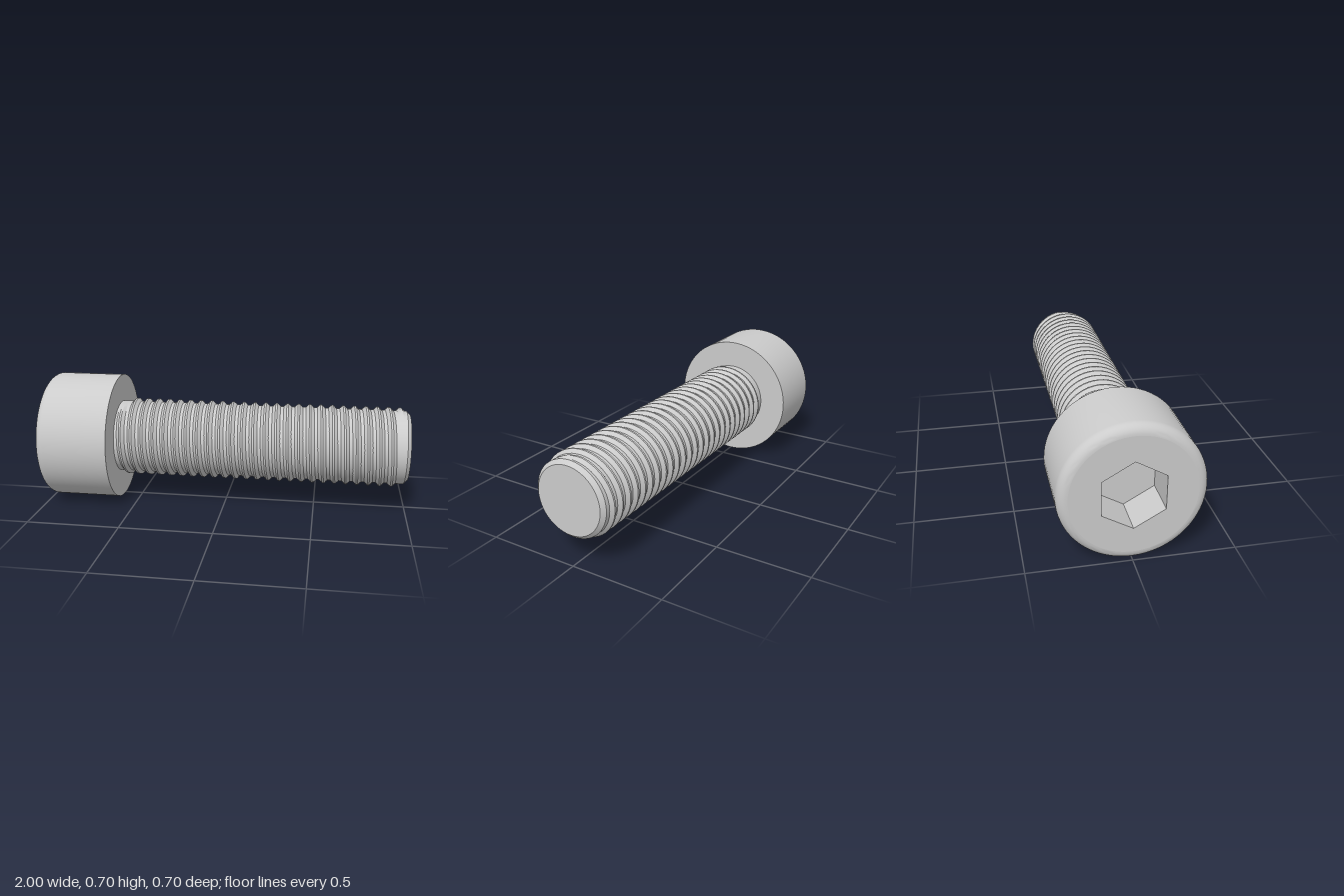
import * as THREE from 'three';
import { toCreasedNormals } from 'three/addons/utils/BufferGeometryUtils.js';

const AXIS_Y = 0.35;
const material = new THREE.MeshStandardMaterial({ color: 0xcccccc });
const doubleSided = new THREE.MeshStandardMaterial({ color: 0xcccccc, side: THREE.DoubleSide });

function part(name, geometry, mat = material) {
  const mesh = new THREE.Mesh(geometry, mat);
  mesh.name = name;
  return mesh;
}

// Turned solid around the x axis from [radius, x] pairs
function turned(profile) {
  const geometry = new THREE.LatheGeometry(profile.map(([r, x]) => new THREE.Vector2(r, x)), 72);
  geometry.rotateZ(-Math.PI / 2);
  return toCreasedNormals(geometry, 0.5);
}

function hexagon(radius) {
  return Array.from({ length: 6 }, (_, i) => {
    const a = Math.PI / 2 + i * Math.PI / 3;
    return new THREE.Vector2(radius * Math.cos(a), radius * Math.sin(a));
  });
}

// Helical ridge: a small trapezoid swept around the x axis, fading out at both ends
function threadGeometry(x0, x1, pitch, rootRadius, crestRadius) {
  const section = [[-0.024, 0], [-0.005, 1], [0.005, 1], [0.024, 0]];
  const perTurn = 48;
  const steps = Math.round((x1 - x0) / pitch * perTurn);
  const positions = [], index = [];
  for (let i = 0; i <= steps; i++) {
    const angle = i / perTurn * Math.PI * 2;
    const fade = Math.min(1, i / 6, (steps - i) / 6);
    const x = x0 + i / perTurn * pitch;
    for (const [dx, h] of section) {
      const r = rootRadius + h * fade * (crestRadius - rootRadius);
      positions.push(x + dx, r * Math.cos(angle), r * Math.sin(angle));
    }
    if (i === steps) continue;
    for (let j = 0; j < 3; j++) {
      const a = i * 4 + j, b = a + 1, c = a + 4, d = a + 5;
      index.push(a, c, b, b, c, d);
    }
  }
  const geometry = new THREE.BufferGeometry();
  geometry.setAttribute('position', new THREE.Float32BufferAttribute(positions, 3));
  geometry.setIndex(index);
  return toCreasedNormals(geometry, 0.4);
}

export function createModel() {
  const bolt = new THREE.Group();
  bolt.name = 'socketHeadBolt';
  bolt.position.y = AXIS_Y;

  // Head: rounded outer edge, straight wall, flat underside
  const headRadius = 0.35, fillet = 0.05, socketRadius = 0.173, socketDepth = 0.2;
  const headProfile = [];
  for (let i = 0; i <= 8; i++) {
    const a = i / 8 * Math.PI / 2;
    headProfile.push([headRadius - fillet + fillet * Math.sin(a), -1 + fillet - fillet * Math.cos(a)]);
  }
  headProfile.push([headRadius, -0.6], [0.15, -0.6]);
  bolt.add(part('head', turned(headProfile)));

  // Head face with the hexagonal opening
  const face = new THREE.Shape().absarc(0, 0, headRadius - fillet, 0, Math.PI * 2);
  face.holes.push(new THREE.Path(hexagon(socketRadius)));
  const faceGeometry = new THREE.ShapeGeometry(face, 36);
  faceGeometry.rotateY(-Math.PI / 2).translate(-1, 0, 0);
  bolt.add(part('headFace', faceGeometry));

  // Socket walls and floor
  const walls = new THREE.CylinderGeometry(socketRadius, socketRadius, socketDepth, 6, 1, true, Math.PI / 6);
  walls.rotateZ(-Math.PI / 2).translate(-1 + socketDepth / 2, 0, 0);
  bolt.add(part('socketWalls', toCreasedNormals(walls, 0.3), doubleSided));
  const floor = new THREE.ShapeGeometry(new THREE.Shape(hexagon(socketRadius)));
  floor.rotateY(-Math.PI / 2).translate(-1 + socketDepth, 0, 0);
  bolt.add(part('socketFloor', floor));

  // Shank with a chamfered tip
  bolt.add(part('shank', turned([[0.2, -0.6], [0.2, 0.98], [0.18, 1], [0, 1]])));

  // Right-handed thread
  bolt.add(part('thread', threadGeometry(-0.575, 0.955, 0.061, 0.198, 0.217)));

  const model = new THREE.Group();
  model.name = 'bolt';
  model.add(bolt);
  return model;
}
